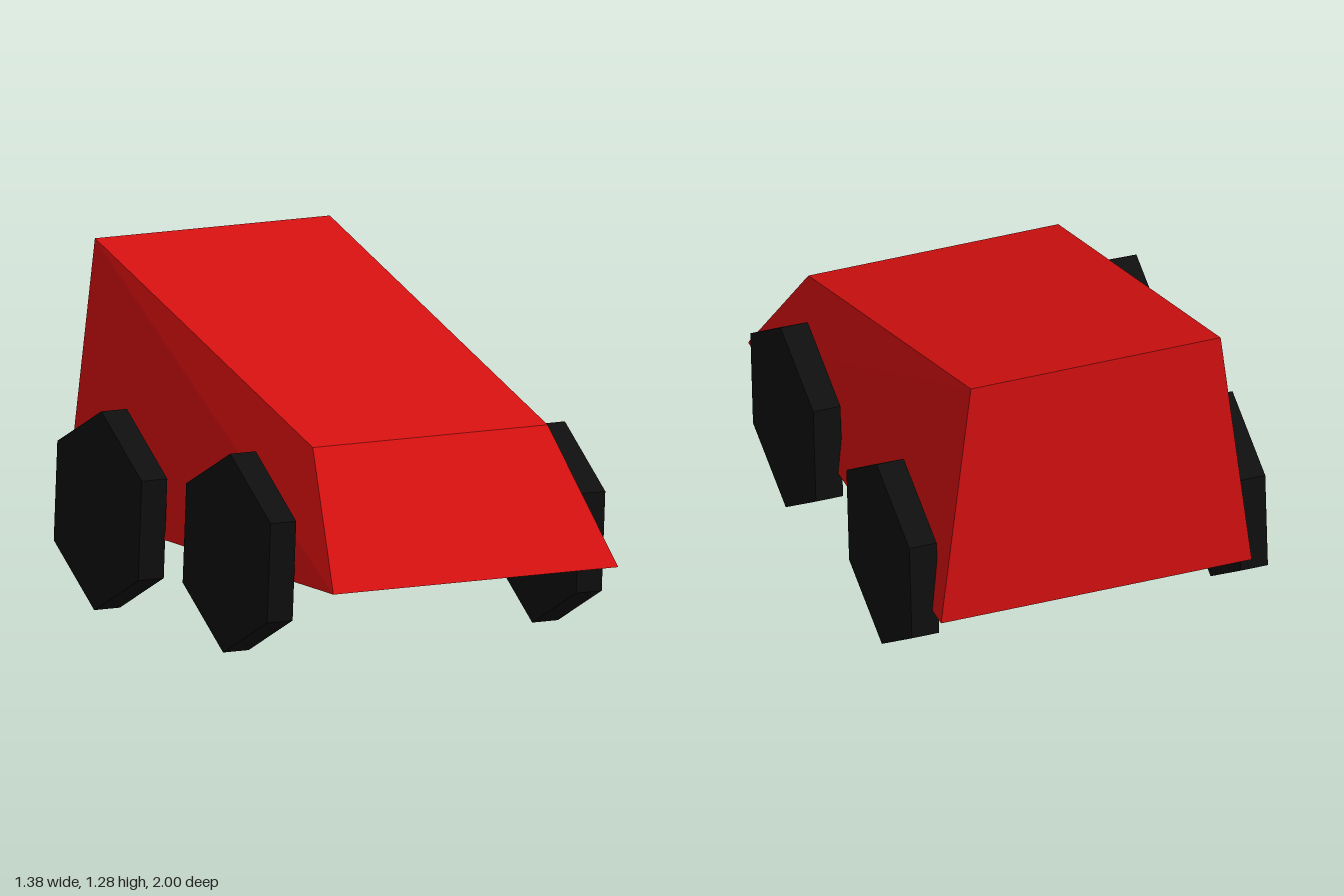
import * as THREE from 'three';

export function createModel() {
  const red = new THREE.MeshStandardMaterial({ color: 0xd21010 });
  red.name = 'bodyRed';
  const black = new THREE.MeshStandardMaterial({ color: 0x0e0e0e });
  black.name = 'wheelBlack';

  const model = new THREE.Group();
  model.name = 'wedgeCar';

  // Body: four cross edges, each running from the right (-x) to the left (+x)
  const edges = [
    [-0.58, 0.59, 0.305, 1], // nose
    [-0.475, 0.49, 0.78, 0.65], // hood top
    [-0.475, 0.49, 1.285, -1], // rear top
    [-0.595, 0.605, 0.305, -1], // rear bottom
  ];
  const R = edges.map(([r, , y, z]) => [r, y, z]);
  const L = edges.map(([, l, y, z]) => [l, y, z]);
  const points = [];
  const triangle = (...corners) => points.push(...corners.flat());
  for (let i = 0; i < 4; i++) {
    const j = (i + 1) % 4;
    triangle(R[i], L[i], L[j]);
    triangle(R[i], L[j], R[j]);
  }
  // Sides, folded along the line from nose to rear top
  for (const [a, b] of [[1, 2], [2, 3]]) {
    triangle(R[0], R[a], R[b]);
    triangle(L[0], L[b], L[a]);
  }
  const bodyGeometry = new THREE.BufferGeometry();
  bodyGeometry.setAttribute('position', new THREE.Float32BufferAttribute(points, 3));
  bodyGeometry.computeVertexNormals();
  const body = new THREE.Mesh(bodyGeometry, red);
  body.name = 'body';
  model.add(body);

  // Six-sided wheels, slightly turned about the axle
  const wheelGeometry = new THREE.CylinderGeometry(0.37, 0.37, 0.105, 6, 1, false, Math.PI / 2 - 0.073)
    .rotateZ(Math.PI / 2)
    .toNonIndexed();
  wheelGeometry.computeVertexNormals();
  for (const [end, z] of [['front', 0.393], ['rear', -0.583]]) {
    for (const [side, x] of [['Right', -0.637], ['Left', 0.633]]) {
      const wheel = new THREE.Mesh(wheelGeometry, black);
      wheel.name = `${end}${side}Wheel`;
      wheel.position.set(x, 0.37, z);
      model.add(wheel);
    }
  }
  return model;
}
